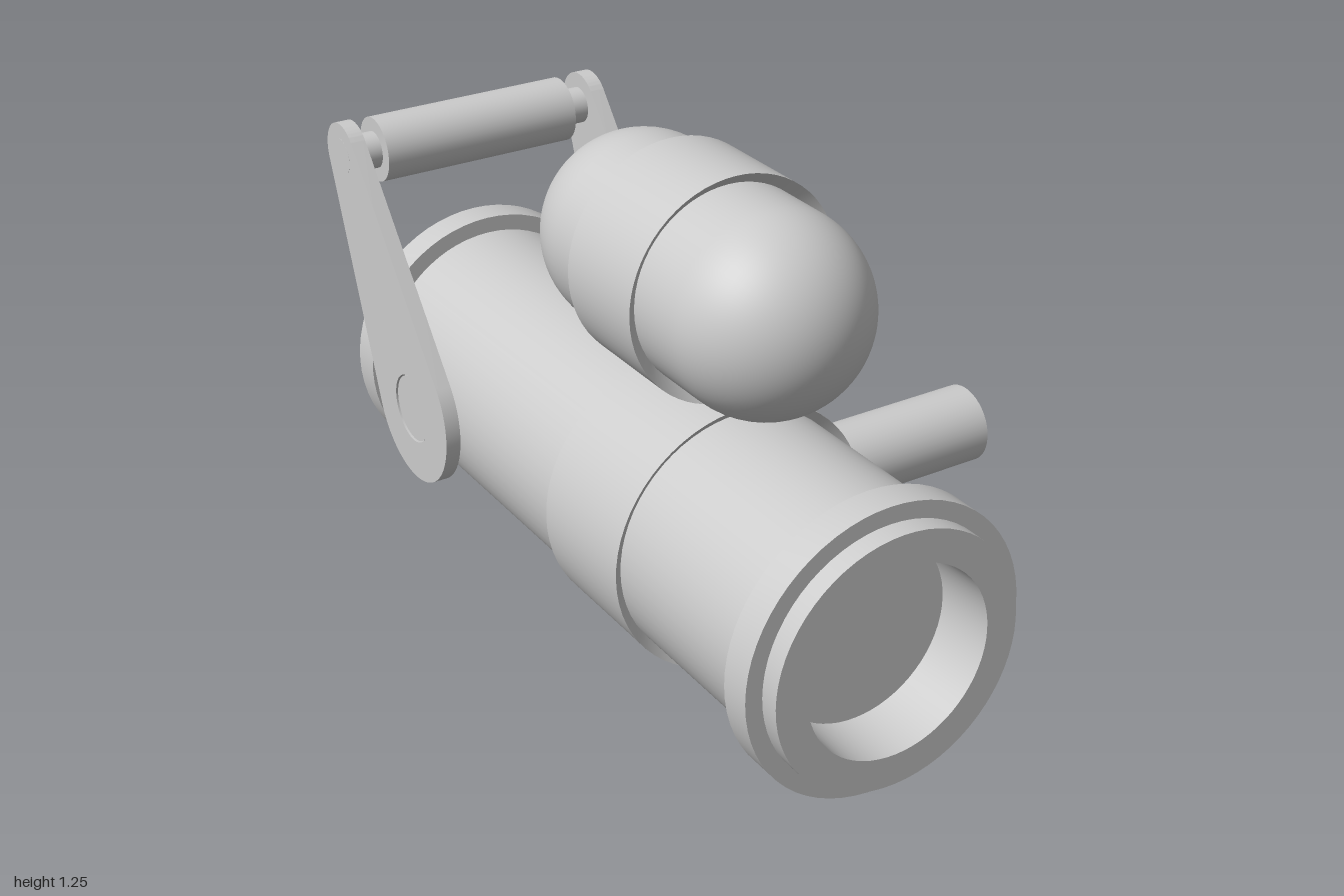
import * as THREE from 'three';
import { toCreasedNormals } from 'three/addons/utils/BufferGeometryUtils.js';

const CX = -0.21, CY = 0.357; // barrel axis

export function createModel() {
  const model = new THREE.Group();
  const grey = new THREE.MeshStandardMaterial({ color: 0xcccccc });

  function add(name, geometry, x = 0, y = 0, z = 0) {
    const mesh = new THREE.Mesh(geometry, grey);
    mesh.name = name;
    mesh.position.set(x, y, z);
    model.add(mesh);
    return mesh;
  }

  // Solid turned around the z axis from [radius, z] pairs
  function turnedZ(profile) {
    const points = profile.map(([r, z]) => new THREE.Vector2(r, z));
    return toCreasedNormals(new THREE.LatheGeometry(points, 64).rotateX(Math.PI / 2), 0.5);
  }

  // Round bar lying along x
  function barX(name, radius, x0, x1, y, z) {
    const geometry = new THREE.CylinderGeometry(radius, radius, x1 - x0, 40).rotateZ(Math.PI / 2);
    return add(name, geometry, (x0 + x1) / 2, y, z);
  }

  // Barrel with a recessed front bore
  add('barrel', turnedZ([
    [0, -0.98], [0.315, -0.98], [0.315, 1], [0.236, 1], [0.23, 0.85], [0, 0.85],
  ]), CX, CY);

  // Raised rims near both ends
  for (const [name, z0, z1] of [['frontRim', 0.87, 0.95], ['rearRim', -0.92, -0.84]]) {
    add(name, turnedZ([[0.31, z0], [0.357, z0], [0.357, z1], [0.31, z1]]), CX, CY);
  }

  // Collar round the middle of the barrel
  add('barrelCollar', turnedZ([[0.314, 0.09], [0.338, 0.07], [0.338, 0.393], [0.314, 0.373]]), CX, CY);

  // Round-ended tank and its band with hollowed ends
  const tankY = 0.975;
  add('tank', new THREE.CapsuleGeometry(0.243, 0.509, 20, 64).rotateX(Math.PI / 2), CX, tankY, 0.228);
  add('tankBand', turnedZ([[0.242, 0.125], [0.272, 0.095], [0.272, 0.363], [0.242, 0.333]]), CX, tankY);

  // Side grip on a thin spindle
  barX('sideGrip', 0.098, 0.155, 0.567, CY, 0.225);
  barX('sideGripSpindle', 0.06, 0.08, 0.573, CY, 0.225);

  // Tapered arms: two circles joined by their tangents, seen with u = -z
  const low = { u: 0.59, v: 0.36, r: 0.196 }, high = { u: 0.915, v: 0.945, r: 0.085 };
  const du = high.u - low.u, dv = high.v - low.v;
  const lean = Math.atan2(dv, du);
  const spread = Math.acos((low.r - high.r) / Math.hypot(du, dv));
  const outline = new THREE.Shape();
  outline.absarc(low.u, low.v, low.r, lean + spread, lean - spread + Math.PI * 2, false);
  outline.absarc(high.u, high.v, high.r, lean - spread, lean + spread, false);
  outline.closePath();
  const hole = new THREE.Path();
  hole.absarc(low.u, low.v, 0.09, 0, Math.PI * 2, true);
  outline.holes.push(hole);
  const arm = toCreasedNormals(
    new THREE.ExtrudeGeometry(outline, { depth: 0.039, bevelEnabled: false, curveSegments: 32 }).rotateY(Math.PI / 2), 0.5);
  add('leftArm', arm, 0.118);
  add('rightArm', arm, -0.576);

  // Pivots into the barrel
  barX('leftPivot', 0.087, 0.05, 0.153, low.v, -low.u);
  barX('rightPivot', 0.087, -0.572, -0.47, low.v, -low.u);

  // Handle between the arms
  barX('handleRod', 0.048, -0.5765, 0.1575, high.v - 0.003, -high.u);
  barX('handleGrip', 0.085, -0.484, 0.06, high.v - 0.003, -high.u);

  return model;
}
